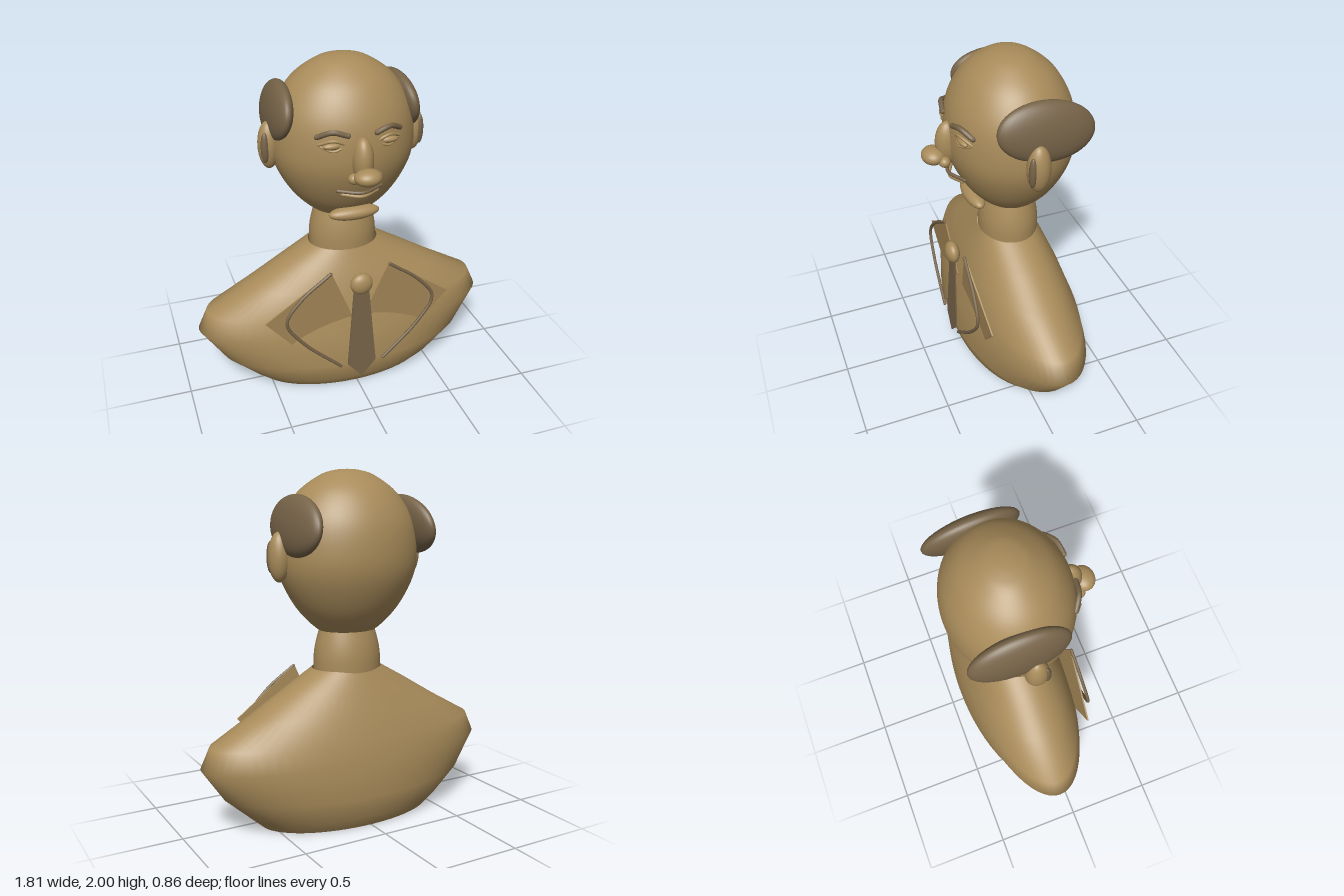
import * as THREE from 'three';

const bronze = new THREE.MeshStandardMaterial({ color: 0xa88b5a, side: THREE.DoubleSide });
bronze.name = 'bronze';
const darkBronze = new THREE.MeshStandardMaterial({ color: 0x766348, side: THREE.DoubleSide });
darkBronze.name = 'dark bronze';

const v = (p) => new THREE.Vector3(...p);

export function createModel() {
  const model = new THREE.Group();
  model.name = 'bust';

  const add = (name, geometry, material = bronze) => {
    const mesh = new THREE.Mesh(geometry, material);
    mesh.name = name;
    model.add(mesh);
    return mesh;
  };
  const ellipsoid = (name, pos, radii, material) => {
    const mesh = add(name, new THREE.SphereGeometry(1, 40, 28), material);
    mesh.position.set(...pos);
    mesh.scale.set(...radii);
    return mesh;
  };
  const tube = (name, points, radius, material) => {
    const curve = new THREE.CatmullRomCurve3(points.map(v));
    const geometry = new THREE.TubeGeometry(curve, 32, radius, 8);
    // Round caps close the two ends
    const mesh = add(name, geometry, material);
    for (const p of [points[0], points[points.length - 1]]) {
      const cap = new THREE.Mesh(new THREE.SphereGeometry(radius, 8, 6), material ?? bronze);
      cap.name = name + 'End';
      cap.position.set(...p);
      mesh.add(cap);
    }
    return mesh;
  };
  const plate = (name, points, material) => {
    const shape = new THREE.Shape(points.map(([x, y]) => new THREE.Vector2(x, y)));
    return add(name, new THREE.ExtrudeGeometry(shape, { depth: 0.008, bevelEnabled: false }), material);
  };
  // Leans a flat plate so that its depth follows its height
  const lean = (mesh, z0, slope) => {
    const p = mesh.geometry.attributes.position;
    for (let i = 0; i < p.count; i++) p.setZ(i, p.getZ(i) + z0 + slope * p.getY(i));
    mesh.geometry.computeVertexNormals();
  };

  // Torso: elliptical sections [height, half width, front z, back z], open below
  const sections = [
    [0, 0.55, 0.215, -0.35], [0.07, 0.63, 0.265, -0.395], [0.2, 0.775, 0.297, -0.43],
    [0.39, 0.905, 0.262, -0.41], [0.51, 0.85, 0.236, -0.385], [0.65, 0.6, 0.2, -0.34],
    [0.78, 0.385, 0.148, -0.285], [0.88, 0.21, 0.105, -0.24],
  ];
  const sides = 64, positions = [], index = [];
  sections.forEach(([y, rx, front, back], i) => {
    for (let j = 0; j < sides; j++) {
      const a = (j / sides) * Math.PI * 2;
      positions.push(rx * Math.sin(a), y, (front + back) / 2 + ((front - back) / 2) * Math.cos(a));
      if (i === sections.length - 1) continue;
      const p = i * sides + j, q = i * sides + ((j + 1) % sides);
      index.push(p, q, p + sides, q, q + sides, p + sides);
    }
  });
  const torso = new THREE.BufferGeometry();
  torso.setAttribute('position', new THREE.Float32BufferAttribute(positions, 3));
  torso.setIndex(index);
  torso.computeVertexNormals();
  add('torso', torso);

  // Neck and egg-shaped head, turned and flattened front to back
  const turned = (name, points, segments) => {
    const curve = new THREE.SplineCurve(points.map(([r, y]) => new THREE.Vector2(r, y)));
    const pts = curve.getPoints(segments);
    pts.forEach((p) => { p.x = Math.max(p.x, 0); });
    const mesh = add(name, new THREE.LatheGeometry(pts, 64));
    mesh.scale.z = 0.865;
    mesh.position.z = -0.072;
    return mesh;
  };
  turned('neck', [[0.2, 0.87], [0.199, 0.95], [0.186, 1.03], [0.16, 1.12]], 12);
  turned('head', [
    [0, 1.065], [0.1, 1.073], [0.19, 1.115], [0.305, 1.235], [0.392, 1.4], [0.412, 1.55],
    [0.383, 1.72], [0.29, 1.87], [0.16, 1.965], [0.07, 1.994], [0, 2],
  ], 50);

  // Chin and nose
  ellipsoid('chin', [0, 1.143, 0.145], [0.15, 0.042, 0.055]);
  ellipsoid('noseBridge', [0, 1.515, 0.28], [0.058, 0.13, 0.07]);
  ellipsoid('noseTip', [0, 1.453, 0.365], [0.076, 0.047, 0.065]);

  // Mouth
  tube('upperLip', [[-0.125, 1.332, 0.23], [0, 1.328, 0.285], [0.125, 1.332, 0.23]], 0.01, darkBronze);
  tube('lowerLip', [[-0.1, 1.31, 0.235], [0, 1.302, 0.275], [0.1, 1.31, 0.235]], 0.011);

  for (const s of [1, -1]) {
    const side = s > 0 ? 'left' : 'right';
    const mirror = (points) => points.map(([x, y, z]) => [s * x, y, z]);

    ellipsoid(side + 'Nostril', [s * 0.062, 1.435, 0.32], [0.034, 0.03, 0.032]);

    // Eye with lids and brow
    ellipsoid(side + 'Eye', [s * 0.155, 1.604, 0.245], [0.055, 0.02, 0.025]);
    tube(side + 'UpperLid', mirror([[0.085, 1.61, 0.262], [0.155, 1.635, 0.26], [0.225, 1.61, 0.218]]), 0.009);
    tube(side + 'LowerLid', mirror([[0.09, 1.6, 0.262], [0.155, 1.578, 0.26], [0.22, 1.6, 0.22]]), 0.007);
    tube(side + 'Brow', mirror([[0.08, 1.662, 0.275], [0.16, 1.683, 0.258], [0.232, 1.652, 0.215]]), 0.015, darkBronze);

    // Ear
    ellipsoid(side + 'Ear', [s * 0.425, 1.525, -0.07], [0.06, 0.138, 0.065]);
    ellipsoid(side + 'InnerEar', [s * 0.455, 1.525, -0.025], [0.023, 0.088, 0.022], darkBronze);

    // Hair tuft
    const hair = ellipsoid(side + 'Hair', [s * 0.358, 1.695, -0.138], [0.07, 0.167, 0.275], darkBronze);
    hair.rotation.set(-0.14, 0, s * 0.18);

    // Lapel plate and its trim
    const lapel = plate(side + 'Lapel', [
      [0.175, 0.84], [0.565, 0.56], [0.4, 0.36], [0.1, 0.1], [0.045, 0.52],
    ].map(([x, y]) => [s * x, y]), bronze);
    lean(lapel, 0.19, 0.08);
    tube(side + 'LapelTrim', mirror([
      [0.18, 0.835, 0.265], [0.36, 0.7, 0.275], [0.45, 0.57, 0.285], [0.36, 0.42, 0.295], [0.135, 0.205, 0.305],
    ]), 0.01, darkBronze);
  }

  // Tie
  ellipsoid('tieKnot', [0, 0.745, 0.28], [0.067, 0.067, 0.042]);
  const tie = plate('tie', [[-0.045, 0.72], [-0.088, 0.2], [0, 0.1], [0.088, 0.2], [0.045, 0.72]], darkBronze);
  lean(tie, 0.304, -0.04);

  return model;
}
